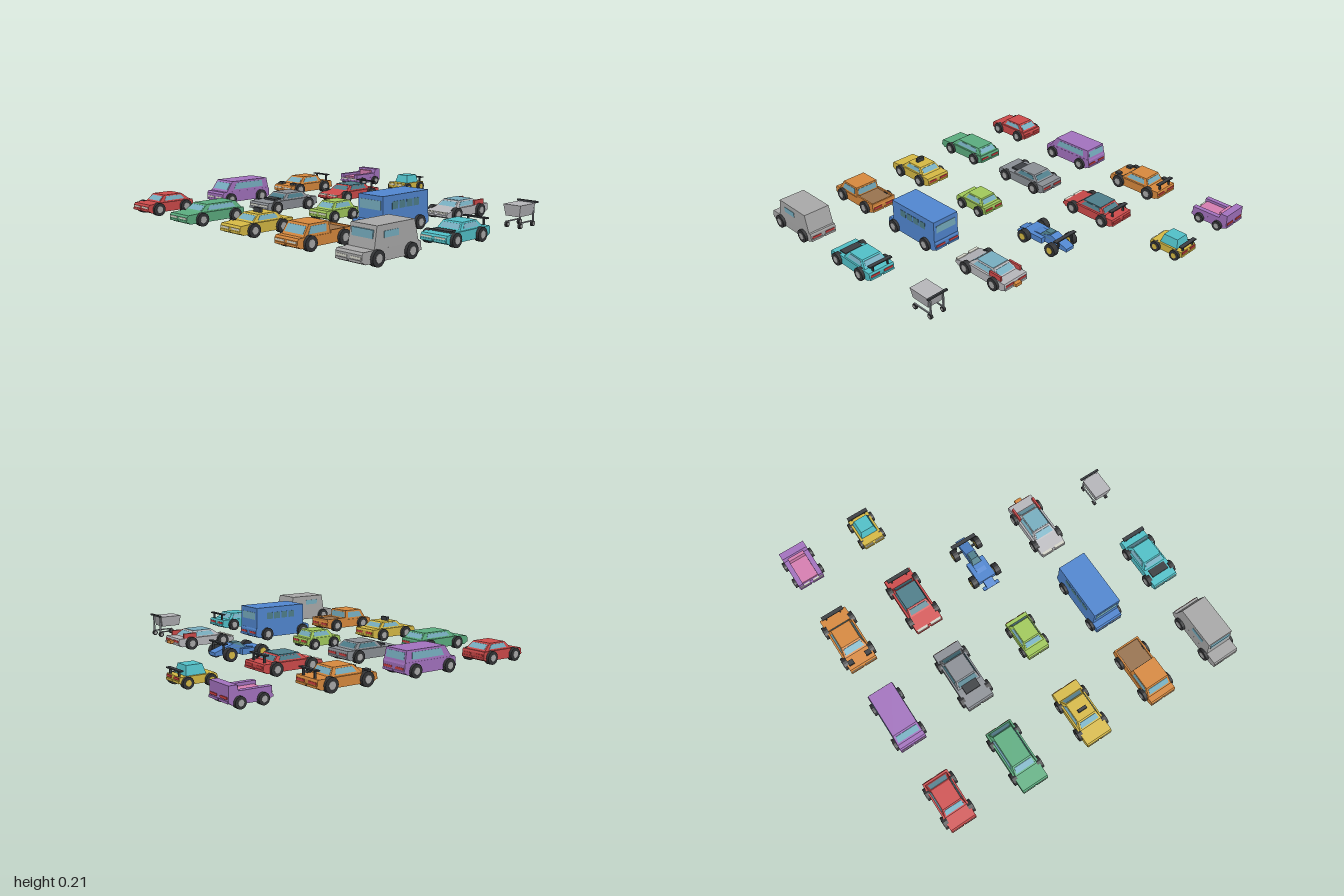
import * as THREE from 'three';

const C = {
  red: 0xcf4b4b, green: 0x5cae80, yellow: 0xd8bb45, orange: 0xd98a3e, grey: 0xaaaaaa, purple: 0xa473c0, steel: 0x8c9096,
  lime: 0xa3cb5c, blue: 0x5288d2, teal: 0x52c2ca, silver: 0xb8b8bc, pink: 0xd87fb2, brown: 0x9a7450,
  glass: 0x79b0c2, darkGlass: 0x4f7f8c, tyre: 0x333436, dark: 0x3d4044, light: 0xd8d8cc, lamp: 0xd04040,
};
const mats = {};
function mat(c) {
  return mats[c] ??= new THREE.MeshStandardMaterial({ color: C[c], flatShading: true });
}
function add(g, name, geo, c) {
  const m = new THREE.Mesh(geo, mat(c));
  m.name = name;
  g.add(m);
  return m;
}
// Box from its limits, x given as centre and width
function box(g, name, c, x, w, y0, y1, z0, z1) {
  return add(g, name, new THREE.BoxGeometry(w, y1 - y0, z1 - z0).translate(x, (y0 + y1) / 2, (z0 + z1) / 2), c);
}
// Tapered box between two sections [width, y, back z, front z]
function frustum(g, name, c, a, b) {
  const geo = new THREE.BoxGeometry(1, 1, 1), p = geo.attributes.position;
  for (let i = 0; i < p.count; i++) {
    const [w, y, z0, z1] = p.getY(i) < 0 ? a : b;
    p.setXYZ(i, p.getX(i) * w, y, p.getZ(i) < 0 ? z0 : z1);
  }
  return add(g, name, geo, c);
}
// Side profile of [z, y] points extruded across x
function hull(g, name, c, w, pts) {
  const geo = new THREE.ExtrudeGeometry(new THREE.Shape(pts.map(p => new THREE.Vector2(...p))), { depth: w, bevelEnabled: false });
  return add(g, name, geo.rotateY(-Math.PI / 2).translate(w / 2, 0, 0), c);
}
function wheel(g, x, y, z, r, w, hub = 'grey') {
  const cyl = (rad, len) => new THREE.CylinderGeometry(rad, rad, len, 16).rotateZ(Math.PI / 2).translate(x, y, z);
  add(g, 'tyre', cyl(r, w), 'tyre');
  add(g, 'hub', cyl(r * 0.52, w + 0.004), hub);
}
// Cabin with windows that follow its slopes
function cabin(g, c, a, b, glass = 'glass') {
  frustum(g, 'cabin', c, a, b);
  const at = t => a.map((v, i) => v + (b[i] - v) * t);
  const lo = at(0.2), hi = at(0.82), e = 0.0015;
  const ends = ([w, y, z0, z1]) => [w * 0.86, y, z0 - e, z1 + e];
  const sides = ([w, y, z0, z1]) => [w + 2 * e, y, z0 + (z1 - z0) * 0.14, z1 - (z1 - z0) * 0.14];
  frustum(g, 'windscreens', glass, ends(lo), ends(hi));
  frustum(g, 'sideWindows', glass, sides(lo), sides(hi));
}
// Lower body with bumpers, lamps and four wheels
function base(name, x, c, w, z0, z1, top, wheels, { r = 0.038, nose = top, hub = 'grey' } = {}) {
  const g = new THREE.Group();
  g.name = name;
  g.position.x = x;
  hull(g, 'body', c, w, [[z0 + 0.025, 0.02], [z1 - 0.025, 0.02], [z1 - 0.004, 0.034], [z1 - 0.004, nose - 0.012],
    [z1 - 0.012, nose], [z1 - 0.1, top], [z0 + 0.008, top], [z0 + 0.004, top - 0.01], [z0 + 0.004, 0.034]]);
  for (const s of [-1, 1]) {
    box(g, 'frontBumper', c, s * w * 0.26, w * 0.46, 0.03, 0.042, z1 - 0.02, z1);
    box(g, 'headlight', 'light', s * w * 0.26, w * 0.4, 0.047, 0.056, z1 - 0.02, z1 - 0.002);
    box(g, 'rearBumper', c, s * w * 0.26, w * 0.46, 0.03, 0.042, z0, z0 + 0.02);
    box(g, 'tailLight', 'lamp', s * w * 0.27, w * 0.36, 0.047, 0.059, z0 + 0.001, z0 + 0.02);
    for (const z of wheels) wheel(g, s * (w / 2 + 0.001), r + 0.001, z, r, 0.03, hub);
  }
  return g;
}
// Wing on two struts
function spoiler(g, c, w, z, y0, y1) {
  box(g, 'spoiler', c, 0, w, y1 - 0.007, y1, z - 0.012, z + 0.012);
  for (const s of [-1, 1]) box(g, 'spoilerStrut', c, s * w * 0.33, 0.007, y0, y1 - 0.007, z - 0.006, z + 0.006);
}

export function createModel() {
  const root = new THREE.Group();
  root.name = 'vehicleCollection';
  const X = [-0.895, -0.447, 0, 0.447, 0.89];
  let g;
  const start = (...args) => { g = base(...args); root.add(g); };

  // Front row
  start('hatchback', X[0], 'red', 0.16, 0.64, 0.955, 0.075, [0.7, 0.885], { nose: 0.07 });
  cabin(g, 'red', [0.14, 0.075, 0.66, 0.87], [0.118, 0.115, 0.71, 0.83]);

  start('estateCar', X[1], 'green', 0.165, 0.6, 0.995, 0.075, [0.67, 0.895], { nose: 0.07 });
  cabin(g, 'green', [0.145, 0.075, 0.615, 0.895], [0.122, 0.114, 0.65, 0.845]);

  start('taxi', X[2], 'yellow', 0.165, 0.615, 0.98, 0.075, [0.7, 0.89], { nose: 0.07 });
  cabin(g, 'yellow', [0.145, 0.075, 0.68, 0.885], [0.12, 0.114, 0.72, 0.84]);
  box(g, 'roofSign', 'dark', 0, 0.054, 0.114, 0.138, 0.783, 0.801);

  start('pickup', X[3], 'orange', 0.168, 0.605, 0.985, 0.072, [0.68, 0.905], { r: 0.04 });
  cabin(g, 'orange', [0.16, 0.072, 0.765, 0.94], [0.15, 0.132, 0.77, 0.9]);
  box(g, 'bedFloor', 'brown', 0, 0.148, 0.07, 0.075, 0.615, 0.765);
  for (const s of [-1, 1]) box(g, 'bedSide', 'orange', s * 0.079, 0.01, 0.07, 0.086, 0.609, 0.765);
  box(g, 'tailgate', 'orange', 0, 0.168, 0.07, 0.086, 0.609, 0.619);

  start('deliveryVan', X[4], 'grey', 0.168, 0.6, 1.0, 0.078, [0.68, 0.905], { r: 0.04 });
  frustum(g, 'cargoBox', 'grey', [0.168, 0.07, 0.62, 0.92], [0.164, 0.185, 0.648, 0.9]);
  box(g, 'windscreen', 'glass', 0, 0.135, 0.125, 0.165, 0.87, 0.912);
  box(g, 'sideWindows', 'glass', 0, 0.17, 0.125, 0.156, 0.76, 0.855);

  // Second row
  start('minivan', X[0], 'purple', 0.165, 0.05, 0.425, 0.085, [0.125, 0.365]);
  cabin(g, 'purple', [0.162, 0.085, 0.058, 0.388], [0.155, 0.148, 0.07, 0.342]);

  start('muscleCar', X[1], 'steel', 0.17, 0.04, 0.435, 0.075, [0.12, 0.365], { nose: 0.07 });
  cabin(g, 'steel', [0.15, 0.075, 0.1, 0.305], [0.125, 0.112, 0.14, 0.265], 'darkGlass');
  box(g, 'bonnetScoop', 'dark', 0, 0.096, 0.07, 0.085, 0.295, 0.35);

  start('smallCar', X[2], 'lime', 0.143, 0.11, 0.37, 0.07, [0.165, 0.31], { r: 0.033 });
  cabin(g, 'lime', [0.13, 0.07, 0.14, 0.318], [0.105, 0.112, 0.165, 0.28]);

  start('bus', X[3], 'blue', 0.178, 0.03, 0.45, 0.08, [0.115, 0.39], { r: 0.04 });
  box(g, 'busBody', 'blue', 0, 0.178, 0.07, 0.21, 0.04, 0.4);
  box(g, 'windscreen', 'glass', 0, 0.15, 0.135, 0.185, 0.3, 0.402);
  box(g, 'rearWindow', 'glass', 0, 0.14, 0.135, 0.18, 0.038, 0.1);
  for (let i = 0; i < 4; i++) box(g, 'sideWindows', 'darkGlass', 0, 0.181, 0.135, 0.176, 0.115 + i * 0.056, 0.16 + i * 0.056);

  start('tunedCar', X[4], 'teal', 0.165, 0.06, 0.42, 0.073, [0.145, 0.35], { nose: 0.066 });
  cabin(g, 'teal', [0.148, 0.073, 0.115, 0.3], [0.12, 0.112, 0.15, 0.265]);
  box(g, 'bonnetVent', 'dark', 0, 0.115, 0.065, 0.078, 0.31, 0.36);
  spoiler(g, 'dark', 0.15, 0.075, 0.07, 0.113);

  // Third row
  start('rallyCar', X[0], 'orange', 0.172, -0.51, -0.13, 0.073, [-0.43, -0.205], { r: 0.04, nose: 0.068 });
  cabin(g, 'orange', [0.15, 0.073, -0.42, -0.22], [0.122, 0.118, -0.395, -0.27]);
  for (const s of [-1, 1]) box(g, 'bonnetLamp', 'dark', s * 0.057, 0.034, 0.065, 0.084, -0.195, -0.165);
  spoiler(g, 'dark', 0.14, -0.49, 0.07, 0.116);

  start('sportsCar', X[1], 'red', 0.175, -0.515, -0.125, 0.07, [-0.435, -0.21], { nose: 0.055 });
  cabin(g, 'red', [0.15, 0.07, -0.44, -0.225], [0.125, 0.105, -0.405, -0.27], 'darkGlass');
  box(g, 'roofGlass', 'darkGlass', 0, 0.132, 0.1, 0.107, -0.403, -0.272);
  spoiler(g, 'dark', 0.15, -0.48, 0.066, 0.114);

  // Open-wheel racer
  g = new THREE.Group();
  g.name = 'openWheelRacer';
  root.add(g);
  hull(g, 'racerBody', 'blue', 0.062, [[-0.5, 0.03], [-0.14, 0.025], [-0.135, 0.04], [-0.27, 0.065], [-0.31, 0.068], [-0.38, 0.09], [-0.5, 0.05]]);
  box(g, 'sidePods', 'blue', 0, 0.118, 0.025, 0.06, -0.335, -0.19);
  frustum(g, 'cockpitGlass', 'darkGlass', [0.064, 0.064, -0.38, -0.3], [0.045, 0.096, -0.375, -0.33]);
  box(g, 'frontWing', 'blue', 0, 0.11, 0.024, 0.034, -0.162, -0.14);
  spoiler(g, 'dark', 0.168, -0.458, 0.045, 0.105);
  for (const z of [-0.43, -0.22]) {
    box(g, 'axle', 'dark', 0, 0.16, 0.034, 0.044, z - 0.006, z + 0.006);
    for (const s of [-1, 1]) wheel(g, s * 0.08, 0.04, z, 0.039, 0.034, 'yellow');
  }

  // Low wedge coupe with rear jets
  start('wedgeCoupe', X[3], 'silver', 0.168, -0.515, -0.125, 0.07, [-0.43, -0.215], { nose: 0.05 });
  cabin(g, 'silver', [0.145, 0.068, -0.45, -0.22], [0.112, 0.106, -0.4, -0.27]);
  box(g, 'roofGlass', 'glass', 0, 0.112, 0.1, 0.108, -0.396, -0.276);
  for (const s of [-1, 1]) box(g, 'rearFin', 'red', s * 0.073, 0.012, 0.06, 0.098, -0.475, -0.39);
  box(g, 'exhaust', 'orange', 0, 0.045, 0.036, 0.054, -0.535, -0.5);

  // Shopping trolley
  g = new THREE.Group();
  g.name = 'shoppingTrolley';
  g.position.x = X[4];
  root.add(g);
  frustum(g, 'basket', 'silver', [0.09, 0.068, -0.37, -0.25], [0.112, 0.132, -0.385, -0.242]);
  box(g, 'handle', 'dark', 0, 0.13, 0.132, 0.142, -0.398, -0.386);
  for (const s of [-1, 1]) {
    box(g, 'frameRail', 'steel', s * 0.043, 0.007, 0.03, 0.037, -0.385, -0.255);
    box(g, 'frameLeg', 'steel', s * 0.043, 0.007, 0.03, 0.135, -0.39, -0.38);
    for (const z of [-0.38, -0.262]) wheel(g, s * 0.043, 0.018, z, 0.016, 0.013);
  }

  // Back row: sofa on wheels and a kart
  start('sofaCar', X[0], 'purple', 0.165, -1.0, -0.755, 0.056, [-0.94, -0.815], { r: 0.03 });
  frustum(g, 'backrest', 'purple', [0.165, 0.05, -0.995, -0.935], [0.165, 0.112, -0.995, -0.95]);
  for (const s of [-1, 1]) box(g, 'armrest', 'purple', s * 0.067, 0.03, 0.05, 0.083, -0.98, -0.762);
  box(g, 'seatCushion', 'pink', 0, 0.104, 0.05, 0.067, -0.94, -0.775);
  box(g, 'backCushion', 'pink', 0, 0.104, 0.06, 0.1, -0.945, -0.925);

  start('miniCar', X[1], 'yellow', 0.135, -0.99, -0.77, 0.062, [-0.945, -0.815], { r: 0.031, hub: 'yellow' });
  frustum(g, 'canopy', 'teal', [0.11, 0.06, -0.945, -0.83], [0.086, 0.112, -0.935, -0.845]);
  spoiler(g, 'dark', 0.135, -0.975, 0.055, 0.094);

  return root;
}
